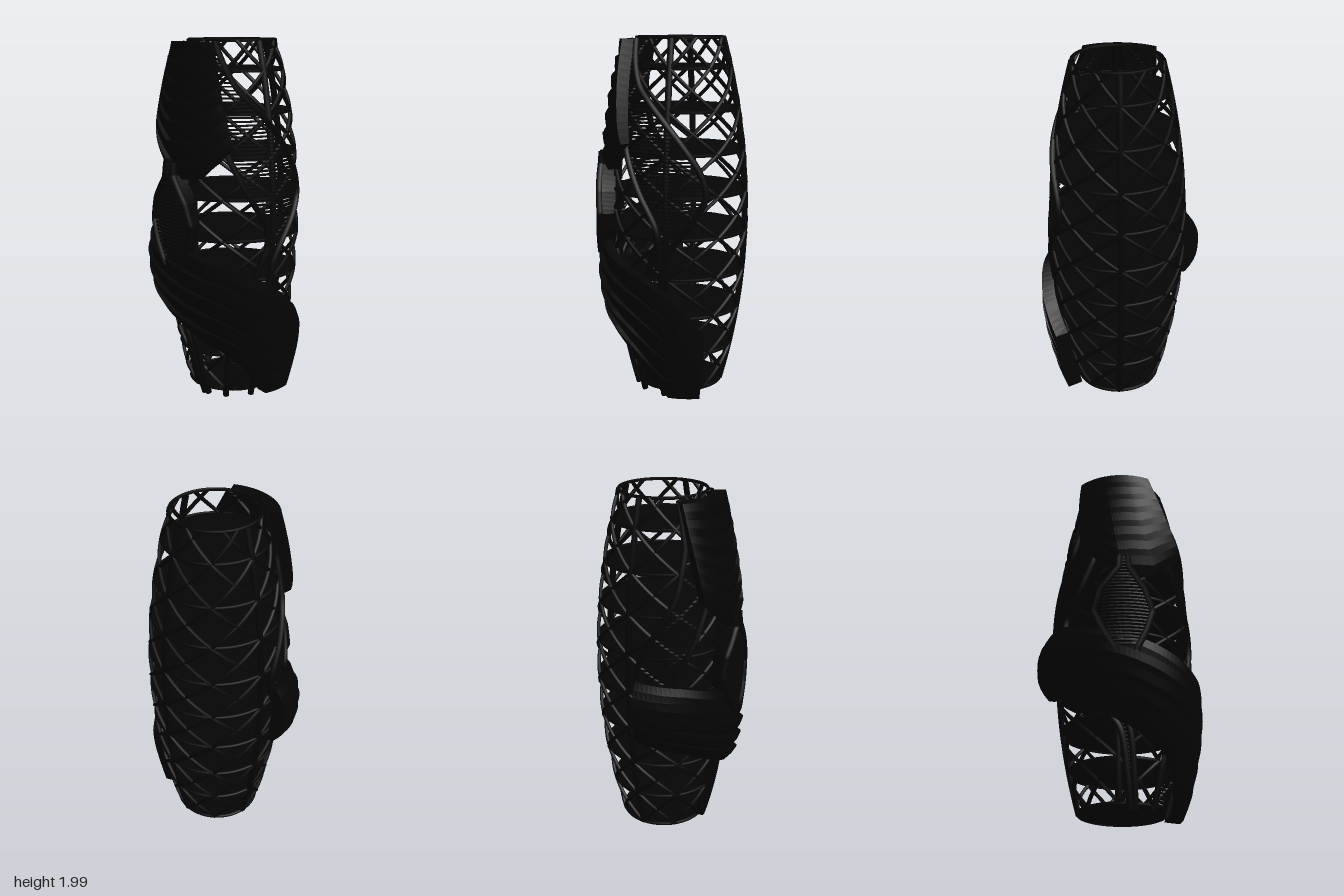
import * as THREE from 'three';
import { mergeGeometries } from 'three/addons/utils/BufferGeometryUtils.js';

const CX = 0.045, RAD = Math.PI / 180;
// tower radius at height y
const R = y => 0.235 + 0.135 * (1 - ((y - 1.02) / 0.98) ** 2);
// angle a: 0 faces -x, 90 faces the front, -90 the back
const at = (a, r, y) => new THREE.Vector3(CX - r * Math.cos(a * RAD), y, r * Math.sin(a * RAD));

// linear interpolation through [key, value] pairs with rising keys
function track(pairs) {
  return k => {
    if (k <= pairs[0][0]) return pairs[0][1];
    for (let i = 1; i < pairs.length; i++) {
      const [k0, v0] = pairs[i - 1], [k1, v1] = pairs[i];
      if (k <= k1) return THREE.MathUtils.lerp(v0, v1, (k - k0) / (k1 - k0));
    }
    return pairs[pairs.length - 1][1];
  };
}

// skin over closed cross-sections of equal length
function loft(sections) {
  const n = sections[0].length, pos = [], idx = [];
  sections.forEach(s => s.forEach(p => pos.push(p.x, p.y, p.z)));
  for (let i = 0; i < sections.length - 1; i++) for (let j = 0; j < n; j++) {
    const a = i * n + j, b = i * n + (j + 1) % n;
    idx.push(a, b, a + n, b, b + n, a + n);
  }
  const g = new THREE.BufferGeometry();
  g.setAttribute('position', new THREE.Float32BufferAttribute(pos, 3));
  g.setIndex(idx);
  g.computeVertexNormals();
  return g;
}

function tube(points, radius, segments) {
  return new THREE.TubeGeometry(new THREE.CatmullRomCurve3(points), segments, radius, 6);
}

export function createModel() {
  const model = new THREE.Group();
  const dark = new THREE.MeshStandardMaterial({ color: 0x050505, side: THREE.DoubleSide });
  const darkFlat = new THREE.MeshStandardMaterial({ color: 0x050505, side: THREE.DoubleSide, flatShading: true });
  const add = (name, geos, mat = dark) => {
    const mesh = new THREE.Mesh(mergeGeometries(geos), mat);
    mesh.name = name;
    model.add(mesh);
  };

  // floors and hoops
  const levels = [];
  for (let i = 0; i < 9; i++) levels.push(0.045 + i * 0.2235);
  const floors = levels.map(y => new THREE.CylinderGeometry(R(y), R(y), 0.008, 48).translate(CX, y, 0));
  add('floors', floors);
  const hoops = [...levels, 1.99].map(y =>
    new THREE.TorusGeometry(R(y), 0.009, 6, 60).rotateX(Math.PI / 2).translate(CX, y, 0));
  add('hoops', hoops);

  // diagonal lattice, winding both ways
  const lattice = [];
  for (let k = 0; k < 8; k++) for (const dir of [-1, 1]) {
    const pts = [];
    for (let i = 0; i <= 45; i++) {
      const y = 0.045 + 1.945 * i / 45;
      pts.push(at(45 * k + dir * 45 * (y - 0.045) / 0.2235, R(y), y));
    }
    lattice.push(tube(pts, 0.011, 110));
  }
  add('diagonalLattice', lattice);

  // four upright ribs
  const ribs = [0, 90, 180, 270].map(a => {
    const pts = [];
    for (let i = 0; i <= 16; i++) pts.push(at(a, R(0.045 + 1.94 * i / 16) - 0.004, 0.045 + 1.94 * i / 16));
    return tube(pts, 0.018, 40);
  });
  add('uprightRibs', ribs);

  // louvred strips: edge angles by height
  const frontOuter = track([[0, 80], [0.3, 80], [0.6, 83], [0.75, 87], [0.85, 91], [0.95, 100], [1.05, 113],
    [1.17, 123], [1.25, 121], [1.35, 114], [1.5, 96], [1.6, 82], [1.75, 56], [1.98, 32]]);
  const frontInner = track([[0, 45], [0.3, 50], [0.6, 66], [0.75, 74], [0.95, 85], [1.05, 79], [1.2, 65],
    [1.4, 49], [1.6, 40], [1.75, 32], [1.98, 16]]);
  const backOuter = track([[0, 14], [0.4, 4], [0.6, -20], [0.85, -62], [0.97, -79], [1.05, -82], [1.15, -78],
    [1.25, -70], [1.5, -47], [1.75, -37], [1.98, -40]]);
  const backInner = track([[0, 20], [0.4, 12], [0.6, -5], [0.9, -45], [1.05, -52], [1.2, -36], [1.4, -22],
    [1.6, -15], [1.98, -8]]);
  const sideA = track([[0.8, 14], [0.92, 21], [1.03, 25], [1.15, 20], [1.29, 9], [1.5, 8]]);
  const sideB = track([[0.8, 0], [0.92, -9], [1.03, -15], [1.15, -11], [1.29, 2], [1.5, 4]]);
  const strips = [
    { name: 'frontStrip', edges: [frontInner, frontOuter], y0: 0.0, y1: 1.98, out: 0.012 },
    { name: 'backStrip', edges: [backInner, backOuter], y0: 0.0, y1: 1.98, out: 0.012 },
    { name: 'sideStrip', edges: [sideB, sideA], y0: 0.78, y1: 1.36, out: 0.09 },
  ];
  for (const s of strips) {
    const slats = [];
    for (let y = s.y0 + 0.05; y < s.y1; y += 0.02) {
      const secs = [];
      for (let i = 0; i <= 8; i++) {
        const a = THREE.MathUtils.lerp(s.edges[0](y), s.edges[1](y), i / 8);
        const r0 = R(y) - 0.012, r1 = R(y) + s.out;
        secs.push([at(a, r0, y), at(a, r1, y), at(a, r1, y + 0.008), at(a, r0, y + 0.008)]);
      }
      slats.push(loft(secs));
    }
    add(s.name + 'Slats', slats, darkFlat);
    // each edge has a web running out from the tower and a round beam on its rim
    const webs = [], beams = [];
    for (const edge of s.edges) {
      const rim = [], secs = [];
      for (let i = 0; i <= 24; i++) {
        const y = THREE.MathUtils.lerp(s.y0 + 0.01, s.y1, i / 24), a = edge(y), r = R(y);
        rim.push(at(a, r + s.out, y));
        secs.push([at(a - 1, r, y), at(a - 1, r + s.out, y), at(a + 1, r + s.out, y), at(a + 1, r, y)]);
      }
      beams.push(tube(rim, 0.018, 90));
      webs.push(loft(secs));
    }
    add(s.name + 'EdgeBeams', beams);
    add(s.name + 'EdgeWebs', webs, darkFlat);
  }

  // stepped shells: closed section, smooth at both ends, with courses flaring in between
  function shell({ angle, low, high, bulge, courses, steps }) {
    const section = (u, flat) => {
      const pts = [];
      const put = (v, off) => {
        const y = THREE.MathUtils.lerp(low(u), high(u), v);
        pts.push(at(angle(u, v), R(y) + (flat ? 0.02 : off), y));
      };
      const flare = 0.032 * Math.sin(Math.PI * u);
      for (let c = 0; c < courses; c++) for (const f of [0, 0.5, 1]) {
        const v = (c + f) / courses;
        put(v, bulge(u, v) - flare * (1 - f) ** 1.5);
      }
      for (let c = courses; c >= 0; c--) put(c / courses, 0.02);
      return pts;
    };
    const secs = [section(0, true)];
    for (let i = 0; i <= steps; i++) secs.push(section(i / steps, false));
    secs.push(section(1, true));
    return loft(secs);
  }
  const past = (v, from, to) => THREE.MathUtils.clamp((v - from) / (to - from), 0, 1) ** 2;

  // wrapping band, falling from the back round the side to the front
  const bandAngle = u => THREE.MathUtils.lerp(-80, 120, u);
  const bandLow = track([[-80, 0.67], [-45, 0.6], [0, 0.45], [45, 0.31], [62, 0.23], [80, 0.09], [90, 0.03], [120, 0.03]]);
  const bandHigh = track([[-80, 1.04], [-45, 1.01], [0, 0.92], [45, 0.81], [75, 0.73], [90, 0.65], [105, 0.56], [120, 0.42]]);
  add('wrappingBand', [shell({
    angle: bandAngle,
    low: u => bandLow(bandAngle(u)),
    high: u => bandHigh(bandAngle(u)),
    bulge: (u, v) => 0.113 - (0.065 - 0.05 * u) * past(v, 0.55, 1) - 0.06 * (1 - u) * past(v, 0.4, 0),
    courses: 5, steps: 60,
  })], darkFlat);

  // upper shell over the side
  add('upperShell', [shell({
    angle: (u, v) => THREE.MathUtils.lerp(
      THREE.MathUtils.lerp(-28, -42, v), THREE.MathUtils.lerp(54, 32, v), u),
    low: track([[0, 1.46], [0.4, 1.26], [0.7, 1.28], [1, 1.44]]),
    high: () => 1.98,
    bulge: (u, v) => 0.092 - 0.015 * past(v, 0.2, 0),
    courses: 7, steps: 32,
  })], darkFlat);

  return model;
}
